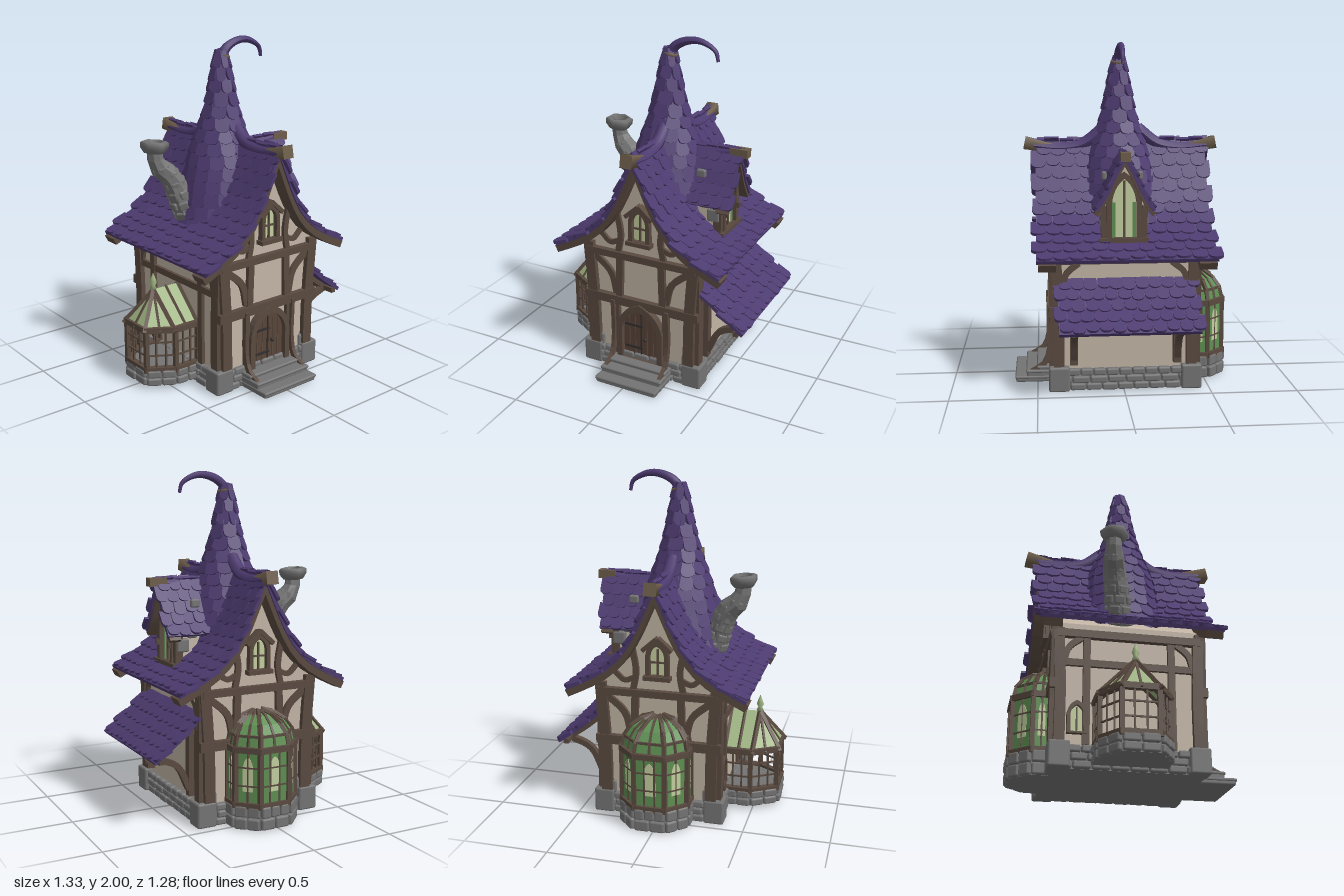
import * as THREE from 'three';
import { mergeGeometries } from 'three/addons/utils/BufferGeometryUtils.js';
import { RoundedBoxGeometry } from 'three/addons/geometries/RoundedBoxGeometry.js';

const V = (x, y, z = 0) => new THREE.Vector3(x, y, z);
const mat = (name, color, side = THREE.FrontSide) => Object.assign(new THREE.MeshStandardMaterial({ color, side }), { name });
let seed = 7;
const rnd = (k = 1) => { seed = (seed * 16807) % 2147483647; return (seed / 2147483647 - 0.5) * k; };

// merge pieces into one named mesh
function put(group, name, material, ...geos) {
  const list = geos.flat().map(g => {
    const n = g.index ? g.toNonIndexed() : g;
    n.deleteAttribute('uv');
    n.clearGroups();
    return n;
  });
  const m = new THREE.Mesh(mergeGeometries(list), material);
  m.name = name;
  group.add(m);
  return m;
}
const box = (w, h, d, x, y, z) => new THREE.BoxGeometry(w, h, d).translate(x, y, z);
const stone = (w, h, d, x, y, z) => new RoundedBoxGeometry(w, h, d, 1, 0.012).translate(x, y, z);
const plate = (shape, z, depth) => new THREE.ExtrudeGeometry(shape, { depth, bevelEnabled: false, curveSegments: 6 }).translate(0, 0, z);

// straight square bar between two points
function bar(a, b, w) {
  const d = b.clone().sub(a), len = d.length();
  const q = new THREE.Quaternion().setFromUnitVectors(V(0, 0, 1), d.normalize());
  return new THREE.BoxGeometry(w, w, len + w * 0.6).applyQuaternion(q).translate(...a.clone().add(b).multiplyScalar(0.5).toArray());
}
// flat timber following a path in the xy plane
function ribbon(pts, w, z, depth) {
  const c = new THREE.CatmullRomCurve3(pts.map(p => V(...p))), n = pts.length > 2 ? 10 : 1, a = [], b = [];
  for (let i = 0; i <= n; i++) {
    const p = c.getPointAt(i / n), t = c.getTangentAt(i / n).multiplyScalar(w / 2);
    a.push(new THREE.Vector2(p.x - t.y, p.y + t.x));
    b.unshift(new THREE.Vector2(p.x + t.y, p.y - t.x));
  }
  return plate(new THREE.Shape([...a, ...b]), z, depth);
}
// tube whose radius runs from r0 to r1
function taperTube(pts, r0, r1, sides = 8, n = 16, rough = 0) {
  const c = new THREE.CatmullRomCurve3(pts), g = new THREE.TubeGeometry(c, n, 1, sides), pos = g.attributes.position;
  for (let i = 0; i <= n; i++) {
    const o = c.getPointAt(i / n), r = r0 + (r1 - r0) * i / n + rnd(rough);
    for (let j = 0; j <= sides; j++) {
      const k = i * (sides + 1) + j, v = V(0, 0).fromBufferAttribute(pos, k).sub(o).multiplyScalar(r).add(o);
      pos.setXYZ(k, v.x, v.y, v.z);
    }
  }
  g.computeVertexNormals();
  return g;
}
// pointed arch
function arch(S, hw, y0, ys, yt) {
  const s = new S();
  s.moveTo(-hw, y0); s.lineTo(hw, y0); s.lineTo(hw, ys);
  s.quadraticCurveTo(hw * 0.9, ys + (yt - ys) * 0.7, 0, yt);
  s.quadraticCurveTo(-hw * 0.9, ys + (yt - ys) * 0.7, -hw, ys);
  return s;
}
function archFrame(hw, y0, ys, yt, t, z, depth) {
  const s = arch(THREE.Shape, hw + t, y0 - t * 0.5, ys, yt + t * 1.3);
  s.holes.push(arch(THREE.Path, hw, y0, ys, yt));
  return plate(s, z, depth);
}

// one roof shingle: p is its lower edge, U points up the slope, N outward
const shingle = new THREE.Shape();
shingle.moveTo(-0.5, 1); shingle.lineTo(-0.5, 0.25);
shingle.quadraticCurveTo(-0.45, 0, 0, 0); shingle.quadraticCurveTo(0.45, 0, 0.5, 0.25); shingle.lineTo(0.5, 1);
const unitTile = new THREE.ExtrudeGeometry(shingle, { depth: 1, bevelEnabled: false, curveSegments: 3 });
function tile(p, t, w, len) {
  const U = t.clone().negate(), N = V(-t.y, t.x), R = U.clone().cross(N);
  const U2 = U.clone().addScaledVector(N, -0.13 + rnd(0.05)).addScaledVector(R, rnd(0.08)).normalize(), N2 = R.clone().cross(U2).normalize();
  const R2 = U2.clone().cross(N2);
  const o = p.clone().addScaledVector(N, 0.008).addScaledVector(U, rnd(0.016));
  const m = new THREE.Matrix4().makeBasis(R2.multiplyScalar(w), U2.multiplyScalar(len), N2.multiplyScalar(0.018)).setPosition(o);
  return unitTile.clone().applyMatrix4(m);
}
// rows of shingles on a slope falling toward +x, with the board beneath
function slope(pts, z0, z1, rows, size) {
  const c = new THREE.CatmullRomCurve3(pts.map(p => V(...p))), len = c.getLength() / rows;
  const n = Math.round((z1 - z0) / size), w = (z1 - z0) / n, out = [ribbon(pts, 0.022, z0 + 0.01, z1 - z0 - 0.02)];
  for (let i = 0; i < rows; i++) for (let j = 0; j < n; j++) {
    const p = c.getPointAt((i + 1) / rows), t = c.getTangentAt((i + 0.5) / rows);
    p.z = z0 + w * (j + 0.5 + (i % 2 ? 0.2 : -0.2)) + rnd(0.008);
    out.push(tile(p, t, w * (0.98 + rnd(0.12)), len * 1.45));
  }
  return out;
}
const gable = (pts, h, rows, size) => [...slope(pts, -h, h, rows, size), ...slope(pts, -h, h, rows, size).map(g => g.rotateY(Math.PI))];

// rough courses of stone along a ground path of [x, z] points
function stoneWall(pts, y0, y1, rows) {
  const out = [], h = (y1 - y0) / rows;
  for (let i = 0; i + 1 < pts.length; i++) {
    const [ax, az] = pts[i], dx = pts[i + 1][0] - ax, dz = pts[i + 1][1] - az, len = Math.hypot(dx, dz);
    for (let r = 0; r < rows; r++) {
      const n = Math.max(1, Math.round(len / (0.085 + rnd(0.03))));
      for (let k = 0; k < n; k++) {
        const f = (k + 0.5) / n;
        out.push(stone(len / n * 0.97, h * 0.96, 0.045 + rnd(0.014), 0, 0, 0).rotateY(-Math.atan2(dz, dx)).translate(ax + dx * f, y0 + h * (r + 0.5), az + dz * f));
      }
    }
  }
  return out;
}

export function createModel() {
  seed = 7;
  const D = THREE.DoubleSide;
  const purple = mat('roof purple', 0x4d3b70), wood = mat('timber brown', 0x5a4a40), plaster = mat('plaster', 0xc2b5a5),
    grey = mat('stone grey', 0x747474), tan = mat('beam tan', 0x6d5d4a), leaf = mat('roof glass green', 0x9fb482, D),
    pale = mat('pale glass', 0xc3cf9f, D), green = mat('deep glass green', 0x5e8f52, D), doorWood = mat('door brown', 0x594539), iron = mat('iron', 0x332e2d);
  const model = new THREE.Group();
  model.name = 'cottage';
  const house = new THREE.Group();
  house.name = 'house';
  house.position.set(0.02, 0, -0.01);
  model.add(house);
  const frame = (name, angle, dist = 0) => {
    const g = new THREE.Group();
    g.name = name; g.rotation.y = angle;
    g.position.set(Math.sin(angle) * dist, 0, Math.cos(angle) * dist);
    house.add(g);
    return g;
  };
  const W = 0.345, H = 0.41, both = f => [-1, 1].flatMap(f);
  const ROOF = [[0, 1.41], [0.06, 1.27], [0.13, 1.12], [0.2, 1.01], [0.28, 0.93], [0.38, 0.865], [0.53, 0.79]];

  // plaster body with curved gables
  const half = [[W, 0.1], [W, 0.84], ...ROOF.slice(1, 5).reverse().map(([x, y]) => [x, y - 0.05])];
  const outline = [...half, [0, 1.35], ...half.map(([x, y]) => [-x, y]).reverse()];
  put(house, 'plasterWalls', plaster, plate(new THREE.Shape(outline.map(p => new THREE.Vector2(...p))), -H, 2 * H));

  // stone footing
  const a = 0.355, b = 0.415;
  put(house, 'stoneFooting', grey, box(0.7, 0.125, 0.83, 0, 0.0625, 0), stoneWall([[-a, b], [a, b], [a, -b], [-a, -b], [-a, b]], 0, 0.13, 3),
    both(s => both(t => [stone(0.12, 0.145, 0.12, s * 0.335, 0.0725, t * 0.385), stone(0.07, 0.08, 0.05, s * 0.3, 0.16, t * 0.4)])));

  // main roof, ridge rolls and ridge beams
  put(house, 'mainRoof', purple, gable(ROOF, 0.52, 11, 0.085));
  put(house, 'ridgeRolls', purple, both(s => taperTube([V(0, 1.4, s * 0.52), V(0, 1.385, s * 0.36), V(0, 1.41, s * 0.22), V(0, 1.5, s * 0.1)], 0.036, 0.04)));
  put(house, 'ridgeBeams', tan, both(s => new THREE.CylinderGeometry(0.052, 0.038, 0.17, 4).rotateY(Math.PI / 4).rotateX(s * (Math.PI / 2 - 0.2)).translate(0, 1.4, s * 0.49)));

  // spire with shingle rings, collar and crooked tip
  const spire = new THREE.Group();
  spire.name = 'spire';
  spire.position.set(-0.02, 0, 0.01);
  house.add(spire);
  const prof = [[0.026, 1.9], [0.045, 1.8], [0.062, 1.7], [0.083, 1.6], [0.112, 1.5], [0.15, 1.4], [0.19, 1.28], [0.22, 1.15], [0.25, 1.0], [0.29, 0.89]];
  const pc = new THREE.CatmullRomCurve3(prof.map(p => V(...p))), rings = [], rows = 14;
  for (let i = 0; i < rows; i++) {
    const p = pc.getPointAt((i + 1) / rows), t = pc.getTangentAt((i + 0.5) / rows), n = Math.max(7, Math.round(2 * Math.PI * p.x / 0.08));
    for (let j = 0; j < n; j++) rings.push(tile(p, t, 2 * Math.PI * p.x / n * 1.06, 0.105).rotateY((j + (i % 2) / 2) / n * Math.PI * 2));
  }
  put(spire, 'spireShingles', purple, rings, new THREE.LatheGeometry([...prof].reverse().map(p => new THREE.Vector2(...p)), 20));
  put(spire, 'crookedTip', purple, taperTube([V(0, 1.84), V(0.02, 1.92), V(0.08, 1.965), V(0.17, 1.983), V(0.24, 1.965), V(0.29, 1.93), V(0.305, 1.875)], 0.034, 0.01, 8, 24));
  put(spire, 'spireCollar', tan, new THREE.TorusGeometry(0.036, 0.012, 6, 14).rotateX(Math.PI / 2).rotateZ(-0.25).translate(0.008, 1.895, 0));

  // front and back timbering
  for (const [name, ang] of [['frontWall', 0], ['backWall', Math.PI]]) {
    const g = frame(name, ang, H);
    put(g, 'timbers', wood,
      ribbon([[-0.375, 0.47], [0.375, 0.47]], 0.055, -0.02, 0.055), ribbon([[-0.36, 0.77], [0.36, 0.77]], 0.042, -0.02, 0.055),
      both(s => [
        ribbon([[s * 0.315, 0.12], [s * 0.32, 0.45], [s * 0.345, 0.82]], 0.065, -0.03, 0.06),
        ribbon([[s * 0.16, 0.1], [s * 0.165, 0.46]], 0.038, 0, 0.025), ribbon([[s * 0.145, 0.48], [s * 0.135, 0.77]], 0.042, 0, 0.025),
        ribbon([[s * 0.165, 0.51], [s * 0.2, 0.64], [s * 0.31, 0.74]], 0.04, 0, 0.02),
        ribbon([[s * 0.15, 0.78], [s * 0.13, 0.9], [s * 0.15, 1.03]], 0.035, 0, 0.02),
        ribbon([[s * 0.14, 0.86], [s * 0.2, 0.84], [s * 0.26, 0.89]], 0.03, 0, 0.018)]));
    put(g, 'bargeBoards', wood, both(s => ribbon(ROOF.map(([x, y]) => [s * x, y - 0.035]), 0.045, -0.01, 0.1)));
    put(g, 'gableWindowFrame', wood, archFrame(0.043, 0.885, 1.0, 1.06, 0.025, 0, 0.035), box(0.16, 0.025, 0.05, 0, 0.87, 0.025),
      box(0.01, 0.16, 0.012, 0, 0.96, 0.012), box(0.08, 0.01, 0.012, 0, 0.96, 0.012), both(s => ribbon([[0, 1.105], [s * 0.085, 1.03]], 0.025, 0, 0.045)));
    put(g, 'gableWindowPane', pale, plate(arch(THREE.Shape, 0.043, 0.885, 1.0, 1.06), 0.001, 0.006));
  }
  const front = house.getObjectByName('frontWall'), back = house.getObjectByName('backWall');

  // door and steps
  put(front, 'door', doorWood, plate(arch(THREE.Shape, 0.125, 0.1, 0.3, 0.43), 0, 0.015));
  put(front, 'doorFrame', wood, archFrame(0.118, 0.1, 0.3, 0.43, 0.034, 0, 0.045));
  put(front, 'doorPlanks', wood, [-0.08, -0.04, 0.04, 0.08].map(x => box(0.006, 0.27, 0.006, x, 0.245, 0.016)));
  put(front, 'doorIron', iron, [0.17, 0.32].map(y => box(0.12, 0.014, 0.008, -0.05, y, 0.018)), box(0.008, 0.3, 0.006, 0, 0.25, 0.017), new THREE.SphereGeometry(0.012, 8, 6).translate(0.03, 0.24, 0.025));
  put(front, 'steps', grey, [[0.1, 0.1], [0.075, 0.165], [0.04, 0.23]].flatMap(([h, d]) => [stone(0.4, h, d, 0, h / 2, d / 2), stone(0.41, 0.02, d + 0.01, 0, h - 0.01, d / 2)]));
  put(front, 'stairRails', wood, both(s => ribbon([[0.03, 0.47], [0.03, 0.2], [0.06, 0.11], [0.14, 0.06]], 0.03, -0.012, 0.024).rotateY(-Math.PI / 2).translate(s * 0.18, 0, 0)));

  // side timbering
  for (const [name, ang] of [['leftWall', Math.PI / 2], ['rightWall', -Math.PI / 2]]) {
    const g = frame(name, ang, W);
    put(g, 'timbers', wood, ribbon([[-0.41, 0.77], [0.41, 0.77]], 0.045, -0.02, 0.055), ribbon([[-0.4, 0.6], [0.4, 0.6]], 0.04, -0.01, 0.03),
      both(s => [ribbon([[s * 0.385, 0.12], [s * 0.385, 0.45], [s * 0.4, 0.8]], 0.06, -0.02, 0.05), ribbon([[s * 0.37, 0.58], [s * 0.34, 0.69], [s * 0.27, 0.75]], 0.035, 0, 0.022)]));
  }
  const right = house.getObjectByName('rightWall');
  put(right, 'smallWindowFrame', wood, archFrame(0.035, 0.2, 0.3, 0.35, 0.02, 0, 0.03).translate(-0.29, 0, 0), box(0.008, 0.14, 0.012, -0.29, 0.27, 0.01));
  put(right, 'smallWindowPane', pale, plate(arch(THREE.Shape, 0.035, 0.2, 0.3, 0.35), 0.001, 0.006).translate(-0.29, 0, 0));
  put(right, 'timberPosts', wood, both(s => ribbon([[s * 0.24, 0.13], [s * 0.24, 0.78]], 0.04, 0, 0.022)));

  // side awning on curved brackets
  put(house, 'awning', purple, slope([[0.34, 0.645], [0.48, 0.52], [0.635, 0.405]], -0.41, 0.4, 5, 0.075));
  put(house, 'awningBrackets', wood, both(s => [
    ribbon([[0.37, 0.16], [0.37, 0.58]], 0.045, s * 0.3 - 0.022, 0.045), ribbon([[0.385, 0.2], [0.46, 0.345], [0.6, 0.405]], 0.035, s * 0.3 - 0.018, 0.036),
    ribbon([[0.37, 0.58], [0.48, 0.485], [0.6, 0.4]], 0.03, s * 0.3 - 0.018, 0.036)]), box(0.03, 0.03, 0.78, 0.59, 0.405, 0), box(0.03, 0.03, 0.78, 0.365, 0.58, 0));

  // dormer with arched window
  const dormer = frame('dormer', Math.PI / 2);
  dormer.position.z = 0.01;
  const DR = [[0, 1.36], [0.05, 1.27], [0.1, 1.16], [0.165, 1.06]];
  put(dormer, 'dormerBody', plaster, plate(new THREE.Shape([[-0.115, 0.88], [0.115, 0.88], [0.11, 1.1], [0, 1.34], [-0.11, 1.1]].map(p => new THREE.Vector2(...p))), 0, 0.36));
  put(dormer, 'dormerRoof', purple, gable(DR, 0.21, 5, 0.07).map(g => g.translate(0, 0, 0.24)), taperTube([V(0, 1.34, 0.1), V(0, 1.345, 0.28), V(0, 1.37, 0.45)], 0.028, 0.026));
  put(dormer, 'dormerBeam', tan, box(0.055, 0.05, 0.11, 0, 1.365, 0.435));
  put(dormer, 'dormerStones', grey, both(s => [stone(0.04, 0.08, 0.08, s * 0.12, 1.0, 0.33), stone(0.04, 0.06, 0.06, s * 0.125, 1.07, 0.27), stone(0.03, 0.05, 0.06, s * 0.105, 1.24, 0.24)]));
  put(dormer, 'dormerTimbers', wood, archFrame(0.072, 0.9, 1.08, 1.235, 0.03, 0.345, 0.045), box(0.28, 0.025, 0.06, 0, 0.885, 0.37),
    both(s => [ribbon([[s * 0.115, 0.88], [s * 0.12, 1.08]], 0.03, 0.33, 0.05), ribbon(DR.map(([x, y]) => [s * x, y - 0.025]), 0.025, 0.36, 0.07)]),
    box(0.014, 0.33, 0.014, 0, 1.06, 0.366), both(s => box(0.018, 0.035, 0.025, s * 0.085, 1.0, 0.395)));
  put(dormer, 'dormerPane', pale, plate(arch(THREE.Shape, 0.072, 0.9, 1.08, 1.235), 0.358, 0.006));
  put(dormer, 'dormerPaneEdges', green, both(s => box(0.02, 0.2, 0.004, s * 0.058, 1.0, 0.366)));

  // crooked stone chimney
  const path = [V(-0.2, 0.88, -0.03), V(-0.27, 1.05, -0.05), V(-0.33, 1.2, -0.08), V(-0.41, 1.28, -0.1), V(-0.43, 1.38, -0.1)];
  const core = taperTube(path, 0.085, 0.05, 8, 9, 0.012).toNonIndexed();
  core.computeVertexNormals();
  const cc = new THREE.CatmullRomCurve3(path), chimney = [core];
  for (let i = 0; i < 7; i++) for (let j = 0; j < 6; j++) {
    const p = cc.getPointAt(0.1 + i * 0.11), r = 0.072 - i * 0.005, q = (j + (i % 2) / 2) / 6 * Math.PI * 2;
    chimney.push(stone(0.035, 0.052, r * 1.0, r, 0, 0).rotateY(q + rnd(0.2)).rotateZ(0.35).translate(p.x, p.y, p.z));
  }
  const cap = new THREE.LatheGeometry([[0.042, 0], [0.06, 0], [0.082, 0.03], [0.085, 0.06], [0.07, 0.07], [0.045, 0.068], [0.042, 0]].map(p => new THREE.Vector2(...p)), 6).rotateZ(-0.08).translate(-0.43, 1.355, -0.1);
  put(house, 'chimney', grey, chimney, cap);
  put(house, 'chimneyHole', iron, new THREE.CylinderGeometry(0.044, 0.044, 0.008, 10).translate(-0.43, 1.387, -0.1));

  // half-octagon glazed bay: ground path, heights, roof levels [y, mapping]
  function bay(g, foot, y0, ySill, yHead, levels, roofMat, paneMat) {
    const at = ([u, d], y) => V(u, y, d), lerp = (p, q, f) => [p[0] + (q[0] - p[0]) * f, p[1] + (q[1] - p[1]) * f];
    const floor = new THREE.Shape(foot.map(([u, d]) => new THREE.Vector2(u, -d)));
    put(g, 'bayBase', grey, plate(floor, 0, ySill - y0).rotateX(-Math.PI / 2).translate(0, y0, 0), stoneWall(foot, y0, ySill, 2));
    const bars = [], thin = [], glass = [], panes = [], lights = [];
    const quad = (p, q, r, s) => { const k = new THREE.BufferGeometry().setFromPoints([p, q, r, p, r, s]); k.computeVertexNormals(); return k; };
    foot.forEach((p, i) => {
      bars.push(bar(at(p, ySill), at(p, yHead), 0.026));
      const q = foot[i + 1], steps = q ? [0, 0.5] : [0];
      for (const f of steps) levels.slice(1).forEach(([y, fn], k) => {
        const c = q ? lerp(p, q, f) : p, [ly, lf] = levels[k];
        (f ? thin : bars).push(bar(at(f ? lerp(lf(p), lf(q), f) : lf(c), ly), at(f ? lerp(fn(p), fn(q), f) : fn(c), y), f ? 0.014 : 0.022));
      });
      if (!q) return;
      const len = Math.hypot(q[0] - p[0], q[1] - p[1]), n = Math.max(2, Math.round(len / 0.06));
      for (const y of [ySill, yHead]) bars.push(bar(at(p, y), at(q, y), 0.034));
      for (const f of [0.35, 0.68]) thin.push(bar(at(p, ySill + (yHead - ySill) * f), at(q, ySill + (yHead - ySill) * f), 0.009));
      for (let k = 1; k < n; k++) thin.push(bar(at(lerp(p, q, k / n), ySill), at(lerp(p, q, k / n), yHead), 0.01));
      levels.slice(1).forEach(([y, fn], k) => {
        const [ly, lf] = levels[k];
        glass.push(quad(at(lf(p), ly), at(lf(q), ly), at(fn(q), y), at(fn(p), y)));
        if (k === 1) thin.push(bar(at(lf(p), ly), at(lf(q), ly), 0.014));
      });
      if (paneMat) {
        panes.push(quad(at(p, ySill), at(q, ySill), at(q, yHead), at(p, yHead)));
        const m = lerp(p, q, 0.5), ang = Math.atan2(-(q[1] - p[1]), q[0] - p[0]);
        lights.push(plate(arch(THREE.Shape, len * 0.2, ySill + 0.08, yHead - 0.11, yHead - 0.04), -0.003, 0.006).rotateY(ang).translate(m[0], 0, m[1]));
      }
    });
    put(g, 'bayFrame', wood, bars);
    put(g, 'bayMullions', wood, thin);
    put(g, 'bayRoofGlass', roofMat, glass);
    if (paneMat) { put(g, 'bayPanes', paneMat, panes); put(g, 'bayArchLights', pale, lights); }
  }
  const octagon = (w, d1, n, d2) => [[-w, 0], [-w, d1], [-n, d2], [n, d2], [w, d1], [w, 0]];

  // domed bay at the back
  const dome = [0, 0.4, 0.75, 1.1, 1.4].map(q => [0.46 + 0.19 * Math.sin(q), ([u, d]) => [u * Math.cos(q), d * Math.cos(q)]]);
  bay(back, octagon(0.195, 0.1, 0.09, 0.205), 0, 0.14, 0.46, dome, green, green);

  // greenhouse bay with hipped glass roof and finial
  const greenhouse = new THREE.Group();
  greenhouse.name = 'greenhouse';
  right.add(greenhouse);
  bay(greenhouse, octagon(0.19, 0.16, 0.1, 0.305), 0.02, 0.12, 0.37,
    [[0.365, ([u, d]) => [u * 1.06, d * 1.05]], [0.565, ([, d]) => [0, d ? 0.18 : 0]]], leaf, null);
  put(greenhouse, 'finial', leaf, new THREE.LatheGeometry([[0, 0.56], [0.022, 0.57], [0.012, 0.59], [0.022, 0.61], [0.012, 0.64], [0, 0.67]].map(p => new THREE.Vector2(...p)), 8).translate(0, 0, 0.18));
  return model;
}
